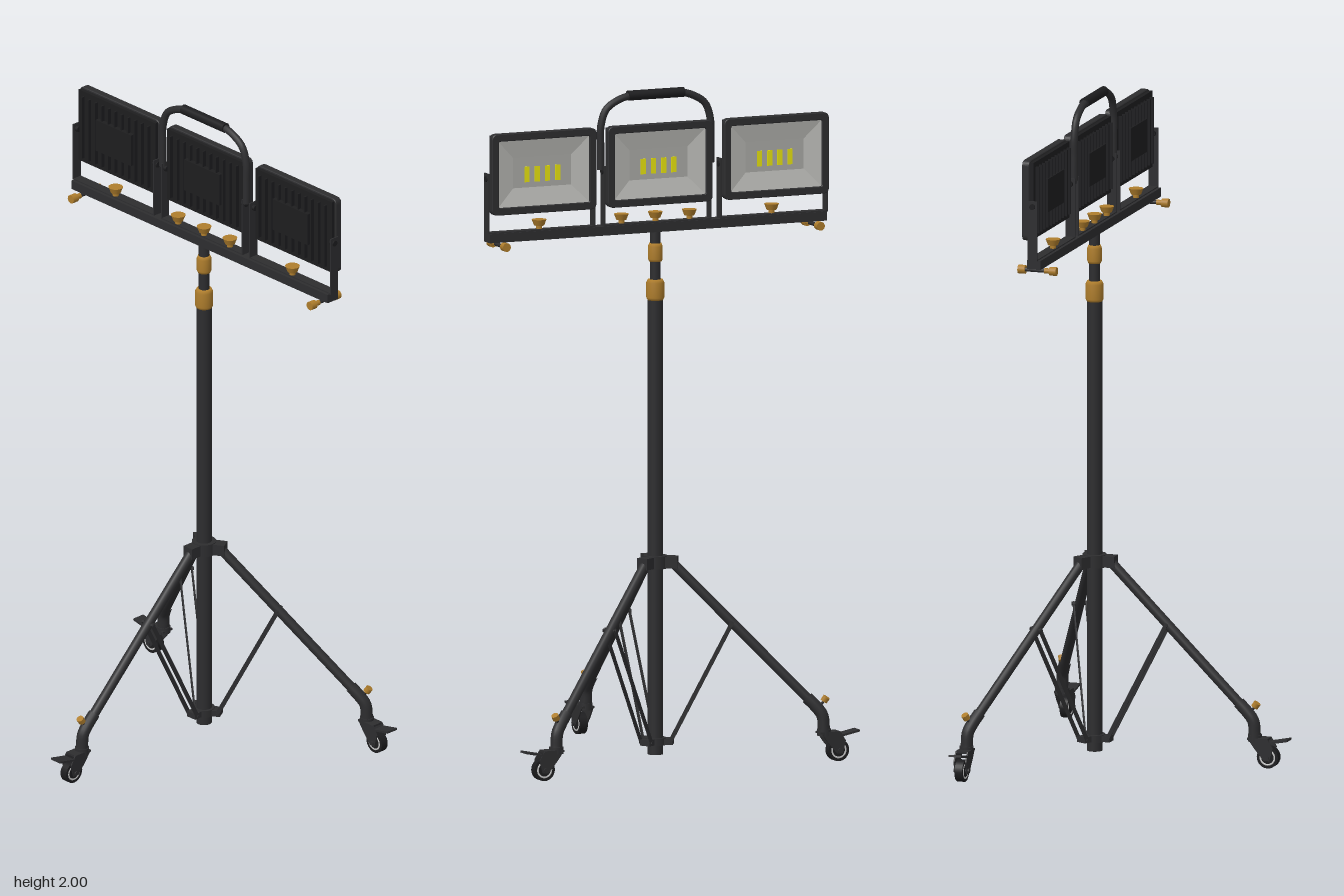
import * as THREE from 'three';

const mat = (name, color) => { const m = new THREE.MeshStandardMaterial({ color }); m.name = name; return m; };
const V = (x, y, z) => new THREE.Vector3(x, y, z);

export function createModel() {
  const dark = mat('charcoal metal', 0x2d2d2f), black = mat('black plastic', 0x1d1d1f);
  const brass = mat('amber knob', 0xae7d2c), grey = mat('reflector grey', 0xbcbcb8);
  const inner = mat('led board grey', 0xaaaaa6), yellow = mat('led yellow', 0xe8e410);
  const steel = mat('wheel hub light grey', 0xc8c8c8);
  grey.side = THREE.DoubleSide;

  const add = (parent, name, geo, m, x = 0, y = 0, z = 0) => {
    const mesh = new THREE.Mesh(geo, m);
    mesh.name = name; mesh.position.set(x, y, z); parent.add(mesh);
    return mesh;
  };
  const box = (p, n, m, w, h, d, x, y, z) => add(p, n, new THREE.BoxGeometry(w, h, d), m, x, y, z);
  const cyl = (p, n, m, r, y0, y1, x = 0, z = 0, r2 = r, seg = 24) =>
    add(p, n, new THREE.CylinderGeometry(r2, r, y1 - y0, seg), m, x, (y0 + y1) / 2, z);
  const rod = (p, n, m, a, b, r, seg = 16) => {
    const d = b.clone().sub(a), mesh = add(p, n, new THREE.CylinderGeometry(r, r, d.length(), seg), m);
    mesh.position.copy(a).add(b).multiplyScalar(0.5);
    mesh.quaternion.setFromUnitVectors(V(0, 1, 0), d.normalize());
    return mesh;
  };
  const roundRect = (P, w, h, r) => {
    const s = new P(), x = w / 2, y = h / 2;
    s.moveTo(-x + r, -y); s.lineTo(x - r, -y); s.quadraticCurveTo(x, -y, x, -y + r);
    s.lineTo(x, y - r); s.quadraticCurveTo(x, y, x - r, y);
    s.lineTo(-x + r, y); s.quadraticCurveTo(-x, y, -x, y - r);
    s.lineTo(-x, -y + r); s.quadraticCurveTo(-x, -y, -x + r, -y);
    return s;
  };

  // Everything is built around the mast axis, then shifted in x
  const model = new THREE.Group(); model.name = 'floodlightTripod';
  const root = new THREE.Group(); root.name = 'tripodAssembly'; root.position.x = 0.16; model.add(root);

  // Telescopic mast
  cyl(root, 'lowerMast', dark, 0.023, 0.015, 1.38);
  cyl(root, 'upperMast', dark, 0.016, 1.38, 1.58);
  const collar = (y0, y1, r) => add(root, 'mastCollar', new THREE.LatheGeometry(
    [[0, y0], [r * 0.85, y0], [r, y0 + 0.008], [r, y1 - 0.01], [r * 0.82, y1], [0, y1]]
      .map(([a, b]) => new THREE.Vector2(a, b)), 24), brass);
  collar(1.37, 1.432, 0.027);
  collar(1.485, 1.54, 0.022);

  // Hubs
  cyl(root, 'upperHub', dark, 0.036, 0.57, 0.608);
  cyl(root, 'lowerHub', dark, 0.032, 0.043, 0.065);

  // Swivel caster, trailing along +x
  const caster = (parent, turn) => {
    const g = new THREE.Group(); g.name = 'caster';
    g.position.x = 0.5; g.rotation.y = turn; parent.add(g);
    cyl(g, 'swivelHead', dark, 0.021, 0.078, 0.098);
    const fork = new THREE.Shape([[-0.018, 0.09], [0.045, 0.09], [0.062, 0.062], [0.052, 0.024], [0.034, 0.024], [0.005, 0.058]]
      .map(([x, y]) => new THREE.Vector2(x, y)));
    for (const s of [-1, 1])
      add(g, 'forkPlate', new THREE.ExtrudeGeometry(fork, { depth: 0.004, bevelEnabled: false }), dark, 0, 0, s * 0.018 - 0.002);
    box(g, 'forkTop', dark, 0.063, 0.006, 0.04, 0.0135, 0.087, 0);
    const pedal = box(g, 'brakePedal', dark, 0.058, 0.006, 0.04, 0.079, 0.083, 0);
    pedal.rotation.z = 0.2;
    const wheel = cyl(g, 'wheel', black, 0.033, -0.012, 0.012, 0, 0, 0.033, 28);
    wheel.position.set(0.043, 0.033, 0); wheel.rotation.x = Math.PI / 2;
    for (const s of [-1, 1]) {
      const rim = add(g, 'wheelRim', new THREE.TorusGeometry(0.022, 0.003, 8, 24), steel, 0.043, 0.033, s * 0.0115);
      rim.scale.z = 0.6;
    }
    rod(g, 'axle', dark, V(0.043, 0.033, -0.024), V(0.043, 0.033, 0.024), 0.007);
  };

  // Folding legs with twin braces, built along +x and turned outwards
  [[Math.PI, 0], [Math.PI / 3, -Math.PI / 6], [-Math.PI / 3, Math.PI / 6]].forEach(([angle, turn]) => {
    const g = new THREE.Group(); g.name = 'leg'; g.rotation.y = -angle; root.add(g);
    box(g, 'upperHubLug', dark, 0.045, 0.034, 0.036, 0.044, 0.589, 0);
    box(g, 'lowerHubLug', dark, 0.038, 0.018, 0.034, 0.034, 0.054, 0);
    rod(g, 'legTube', dark, V(0.05, 0.588, 0), V(0.475, 0.165, 0), 0.0145);
    const foot = new THREE.CatmullRomCurve3([V(0.45, 0.19, 0), V(0.476, 0.164, 0), V(0.495, 0.138, 0), V(0.5, 0.095, 0)]);
    add(g, 'legFoot', new THREE.TubeGeometry(foot, 14, 0.018, 14), dark);
    rod(g, 'footKnobStem', dark, V(0.482, 0.16, 0), V(0.503, 0.184, 0), 0.004, 10);
    rod(g, 'footKnob', brass, V(0.499, 0.18, 0), V(0.508, 0.193, 0), 0.011, 14);
    rod(g, 'bracePin', dark, V(0.228, 0.41, -0.024), V(0.228, 0.41, 0.024), 0.006, 10);
    rod(g, 'lowerPin', dark, V(0.045, 0.054, -0.023), V(0.045, 0.054, 0.023), 0.005, 10);
    for (const s of [-1, 1]) {
      const dx = 0.183, dy = 0.356;
      const brace = box(g, 'brace', dark, 0.012, Math.hypot(dx, dy) + 0.012, 0.004, 0.1365, 0.232, s * 0.019);
      brace.rotation.z = -Math.atan2(dx, dy);
    }
    caster(g, turn);
  });

  // Crossbar, with clamp knobs on top and through-bolts at the ends
  box(root, 'crossbar', dark, 0.042, 0.027, 1.09, 0.002, 1.589, 0);
  for (const z of [-0.376, -0.11, 0, 0.11, 0.376]) {
    cyl(root, 'clampStem', brass, 0.009, 1.602, 1.62, 0, z);
    cyl(root, 'clampKnob', brass, 0.015, 1.616, 1.634, 0, z, 0.022, 16);
  }
  for (const z of [-0.508, 0.508]) {
    rod(root, 'endBolt', dark, V(-0.04, 1.566, z), V(0.05, 1.566, z), 0.006, 10);
    rod(root, 'endKnob', brass, V(-0.057, 1.566, z), V(-0.036, 1.566, z), 0.013, 14);
    rod(root, 'endKnobCollar', brass, V(-0.036, 1.566, z), V(-0.019, 1.566, z), 0.008, 14);
    rod(root, 'endNut', brass, V(0.04, 1.566, z), V(0.062, 1.566, z), 0.013, 14);
  }

  // Floodlights, built facing +z and turned towards +x
  const frameShape = roundRect(THREE.Shape, 0.334, 0.238, 0.016);
  frameShape.holes.push(roundRect(THREE.Path, 0.298, 0.202, 0.008));
  const frameGeo = new THREE.ExtrudeGeometry(frameShape, { depth: 0.019, bevelThickness: 0.002, bevelSize: 0.002, bevelSegments: 1 });
  const ring = (w, h, z) => [[-w, -h, z], [w, -h, z], [w, h, z], [-w, h, z]].flat();
  const reflector = new THREE.BufferGeometry();
  reflector.setAttribute('position', new THREE.Float32BufferAttribute([...ring(0.151, 0.103, 0.034), ...ring(0.094, 0.045, 0.022)], 3));
  reflector.setIndex([0, 1, 2, 3].flatMap(i => { const j = (i + 1) % 4; return [i, j, j + 4, i, j + 4, i + 4]; }));
  const reflectorGeo = reflector.toNonIndexed();
  reflectorGeo.computeVertexNormals();

  for (const z of [-0.376, 0, 0.376]) {
    const g = new THREE.Group(); g.name = 'floodlight';
    g.position.set(0, 1.78, z); g.rotation.y = Math.PI / 2; root.add(g);
    add(g, 'lampFrame', frameGeo, dark, 0, 0, 0.018);
    add(g, 'reflector', reflectorGeo, grey);
    box(g, 'ledBoard', inner, 0.19, 0.092, 0.003, 0, 0, 0.0205);
    for (let i = 0; i < 4; i++) box(g, 'ledStrip', yellow, 0.016, 0.046, 0.004, (i - 1.5) * 0.033, -0.006, 0.0225);
    box(g, 'lampHousing', black, 0.326, 0.23, 0.014, 0, 0, 0.012);
    box(g, 'driverBox', black, 0.15, 0.1, 0.014, 0, 0, -0.003);
    for (let i = 0; i < 11; i++) box(g, 'coolingFin', black, 0.005, 0.2, 0.013, (i - 5) * 0.028, 0, 0);
    // U-shaped mounting bracket
    for (const s of [-1, 1]) {
      box(g, 'bracketArm', dark, 0.004, 0.18, 0.03, s * 0.1715, -0.088, 0.005);
      rod(g, 'bracketBolt', black, V(s * 0.16, -0.015, 0.005), V(s * 0.177, -0.015, 0.005), 0.009, 12);
    }
    box(g, 'bracketBase', dark, 0.344, 0.004, 0.03, 0, -0.176, 0.005);
  }

  // Carry handle over the middle lamp
  const half = [[0.178, 1.77], [0.178, 1.84], [0.177, 1.9], [0.16, 1.948], [0.125, 1.972], [0.08, 1.985]];
  const path = [...half.map(([z, y]) => V(0.002, y, z)), ...half.map(([z, y]) => V(0.002, y, -z)).reverse()];
  add(root, 'carryHandle', new THREE.TubeGeometry(new THREE.CatmullRomCurve3(path), 60, 0.011, 12), dark);
  rod(root, 'handleGrip', black, V(0.002, 1.985, -0.09), V(0.002, 1.985, 0.09), 0.015);

  return model;
}
